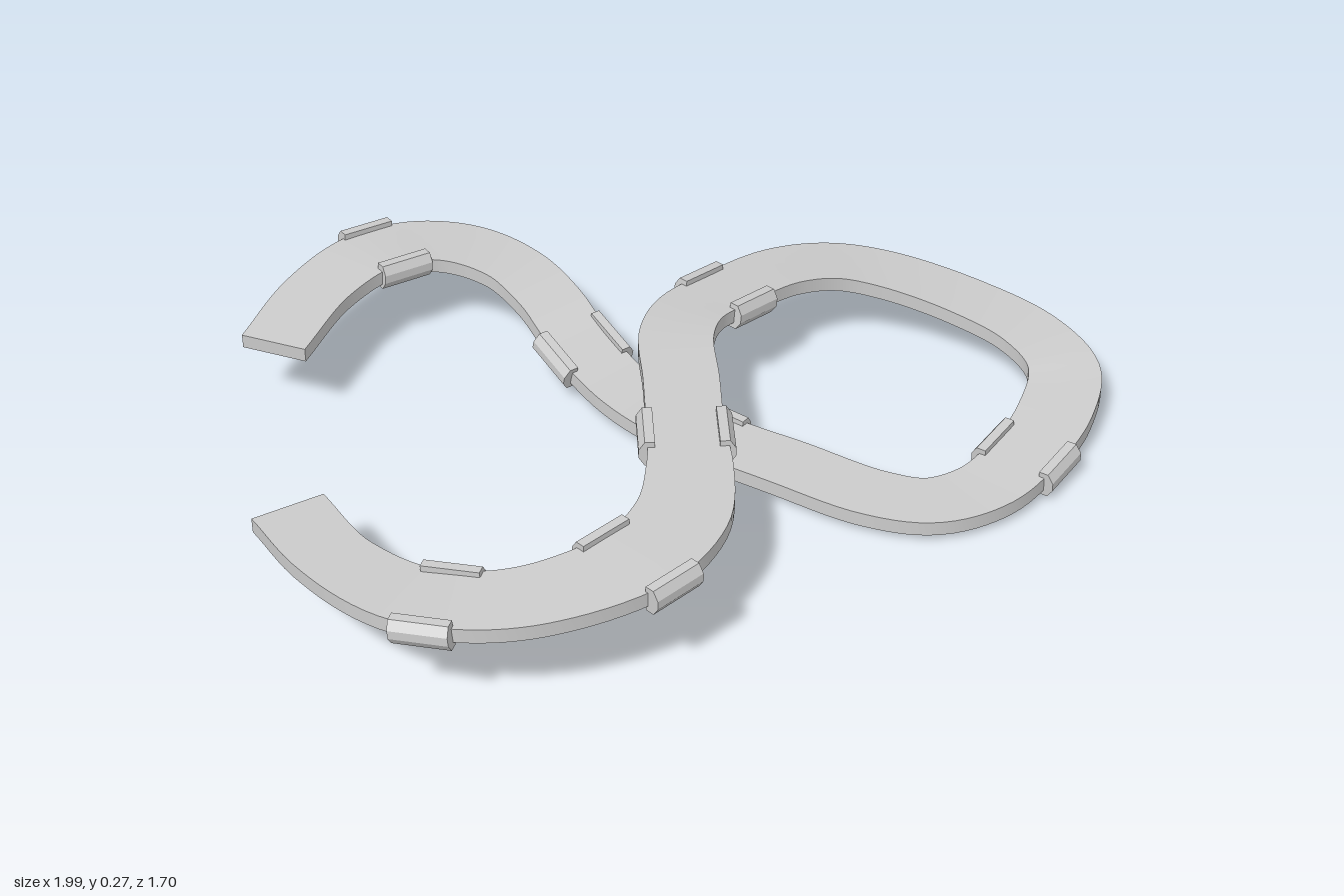
import * as THREE from 'three';
import { toCreasedNormals } from 'three/addons/utils/BufferGeometryUtils.js';

// Track centreline: x, y, z, width
const PATH = [
  [-0.853, 0.175, -0.115, 0.17], [-0.902, 0.19, 0.1, 0.167], [-0.89, 0.208, 0.31, 0.185],
  [-0.815, 0.222, 0.445, 0.19], [-0.7, 0.23, 0.53, 0.195], [-0.5, 0.237, 0.582, 0.21],
  [-0.33, 0.238, 0.54, 0.205], [-0.195, 0.239, 0.43, 0.185], [-0.112, 0.24, 0.335, 0.168],
  [0.02, 0.24, 0.19, 0.17], [0.14, 0.238, 0.055, 0.17], [0.245, 0.23, -0.005, 0.165],
  [0.38, 0.215, -0.022, 0.162], [0.57, 0.195, -0.02, 0.165], [0.7, 0.175, 0.03, 0.165],
  [0.795, 0.15, 0.125, 0.165], [0.88, 0.115, 0.29, 0.162], [0.912, 0.09, 0.46, 0.165],
  [0.87, 0.072, 0.6, 0.168], [0.73, 0.058, 0.69, 0.17], [0.575, 0.046, 0.735, 0.165],
  [0.42, 0.036, 0.748, 0.165], [0.295, 0.033, 0.7, 0.165], [0.225, 0.032, 0.59, 0.17],
  [0.172, 0.032, 0.38, 0.172], [0.12, 0.033, 0.16, 0.165], [0.1, 0.045, -0.05, 0.155],
  [0.118, 0.085, -0.23, 0.155], [0.147, 0.137, -0.38, 0.157], [0.152, 0.165, -0.51, 0.16],
  [0.11, 0.182, -0.63, 0.175], [0.025, 0.193, -0.71, 0.18], [-0.1, 0.2, -0.74, 0.18],
  [-0.28, 0.195, -0.71, 0.167], [-0.49, 0.185, -0.615, 0.16],
];
const THICKNESS = 0.034;
const LAST = PATH.length - 1;
const curve = new THREE.CatmullRomCurve3(PATH.map(([x, y, z]) => new THREE.Vector3(x, y, z)));
const grey = new THREE.MeshStandardMaterial({ color: 0xcccccc });

// Local frame at a (fractional) path index
function frameAt(index) {
  const t = index / LAST;
  const i = Math.min(Math.floor(index), LAST - 1);
  const width = THREE.MathUtils.lerp(PATH[i][3], PATH[i + 1][3], index - i);
  const tangent = curve.getTangent(t);
  const side = new THREE.Vector3(-tangent.z, 0, tangent.x).normalize();
  const up = new THREE.Vector3().crossVectors(side, tangent).normalize();
  if (up.y < 0) up.negate();
  return { centre: curve.getPoint(t), side, up, width };
}

// Rectangular road section swept along the path
function roadGeometry(steps) {
  const rings = [];
  for (let s = 0; s <= steps; s++) {
    const { centre, side, up, width } = frameAt((s / steps) * LAST);
    rings.push([[-1, 1], [1, 1], [1, -1], [-1, -1]].map(([a, b]) =>
      centre.clone().addScaledVector(side, a * width / 2).addScaledVector(up, b * THICKNESS / 2)));
  }
  const points = [];
  const quad = (a, b, c, d) => points.push(a, b, c, a, c, d);
  for (let s = 0; s < steps; s++) {
    const p = rings[s], q = rings[s + 1];
    for (let k = 0; k < 4; k++) {
      const n = (k + 1) % 4;
      quad(p[k], p[n], q[n], q[k]);
    }
  }
  const first = rings[0], end = rings[steps];
  quad(first[3], first[2], first[1], first[0]);
  quad(end[0], end[1], end[2], end[3]);
  const geometry = new THREE.BufferGeometry().setFromPoints(points);
  return toCreasedNormals(geometry, 0.6);
}

// Chamfered edge clip, extruded along the road
function clipGeometry() {
  const profile = [[-0.014, -0.03], [0.008, -0.03], [0.021, -0.01], [0.021, 0.01], [0.008, 0.03], [-0.014, 0.03]];
  const shape = new THREE.Shape(profile.map(([x, y]) => new THREE.Vector2(x, y)));
  const geometry = new THREE.ExtrudeGeometry(shape, { depth: 0.13, bevelEnabled: false });
  return geometry.translate(0, 0, -0.065);
}

export function createModel() {
  const model = new THREE.Group();
  model.name = 'raceTrack';

  const road = new THREE.Mesh(roadGeometry(240), grey);
  road.name = 'road';
  model.add(road);

  // Pairs of clips on both edges of the road
  const clips = new THREE.Group();
  clips.name = 'edgeClips';
  const clip = clipGeometry();
  for (const index of [2.45, 5, 8, 12, 20, 25, 27, 31.65]) {
    const { centre, side, up, width } = frameAt(index);
    for (const sign of [-1, 1]) {
      const out = side.clone().multiplyScalar(sign);
      const along = new THREE.Vector3().crossVectors(out, up);
      const mesh = new THREE.Mesh(clip, grey);
      mesh.name = sign < 0 ? 'edgeClipA' : 'edgeClipB';
      mesh.quaternion.setFromRotationMatrix(new THREE.Matrix4().makeBasis(out, up, along));
      mesh.position.copy(centre).addScaledVector(out, width / 2);
      clips.add(mesh);
    }
  }
  model.add(clips);
  return model;
}
